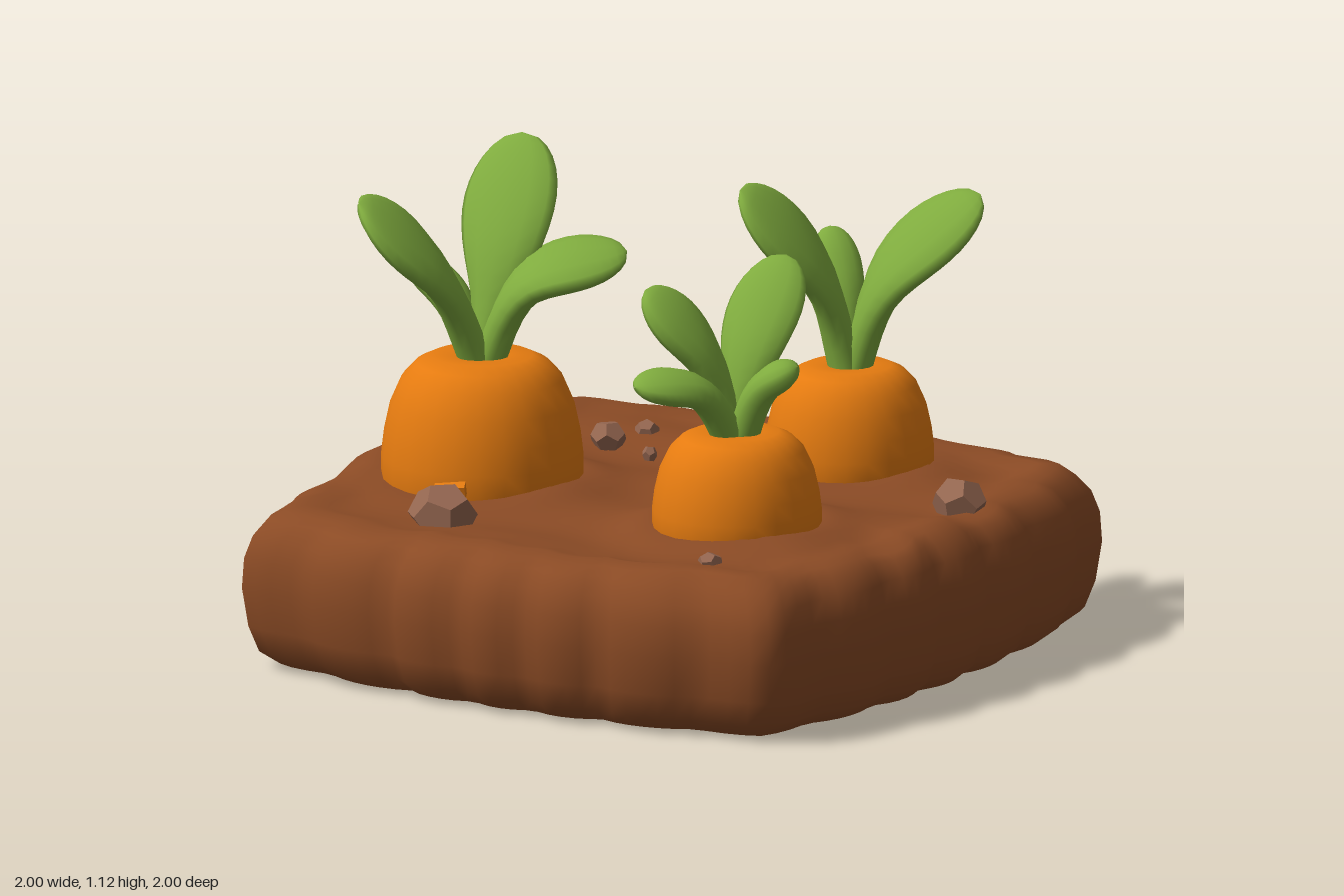
import * as THREE from 'three';

const mat = (name, color) => Object.assign(new THREE.MeshStandardMaterial({ color }), { name });
const V = (x, y, z) => new THREE.Vector3(x, y, z);

// Skin a stack of closed rings (each an array of Vector3)
function loft(rings) {
  const n = rings[0].length, pos = [], idx = [];
  rings.forEach(r => r.forEach(p => pos.push(p.x, p.y, p.z)));
  for (let i = 0; i < rings.length - 1; i++) {
    for (let j = 0; j < n; j++) {
      const a = i * n + j, b = i * n + (j + 1) % n;
      idx.push(a, a + n, b, b, a + n, b + n);
    }
  }
  const g = new THREE.BufferGeometry();
  g.setAttribute('position', new THREE.Float32BufferAttribute(pos, 3));
  g.setIndex(idx);
  g.computeVertexNormals();
  return g;
}

// Each leaf: middle point, tip, half width, roll of the blade
const CARROTS = [
  { name: 'leftCarrot', x: -.4, z: -.18, r: .23, top: .67 },
  { name: 'rightCarrot', x: .44, z: -.12, r: .192, top: .615 },
  { name: 'frontCarrot', x: .06, z: .4, r: .193, top: .605 },
];
const LEAVES = {
  leftCarrot: [
    [V(-.51, .86, -.15), V(-.7, 1.05, -.13), .125, .7],
    [V(-.345, .88, -.24), V(-.26, 1.13, -.39), .115, .15],
    [V(-.3, .84, -.14), V(-.08, .91, -.11), .1, -.4],
    [V(-.45, .78, -.26), V(-.52, .86, -.35), .06, 0],
  ],
  rightCarrot: [
    [V(.37, .82, -.135), V(.19, 1.03, -.14), .12, .7],
    [V(.53, .81, -.115), V(.74, 1, -.1), .105, -.6],
    [V(.44, .77, -.18), V(.43, .9, -.28), .055, 0],
  ],
  frontCarrot: [
    [V(.1, .77, .355), V(.21, .97, .24), .09, -.2],
    [V(-.015, .78, .375), V(-.14, .93, .34), .09, .6],
    [V(-.04, .71, .45), V(-.2, .745, .5), .065, .4],
    [V(.11, .71, .445), V(.18, .77, .49), .05, -.4],
  ],
};

// Height of the planting surface, raised around each carrot
function groundHeight(x, z) {
  let y = .362 + .009 * Math.sin(7 * x + 2) * Math.cos(8 * z) + .006 * Math.sin(15 * x - 11 * z);
  for (const c of CARROTS) {
    const d = Math.hypot(x - c.x, z - c.z) - c.r;
    y += .035 * Math.exp(-((Math.max(d, 0) / .09) ** 2));
  }
  return y;
}

// Rounded diamond outline with six scallops along each side
function soilOutline(count) {
  const P = 1.24;
  return Array.from({ length: count }, (_, j) => {
    const a = j / count * Math.PI * 2, x = Math.sin(a), z = -Math.cos(a);
    const r = (Math.abs(x) ** P + Math.abs(z) ** P) ** (-1 / P);
    const lump = Math.abs(Math.cos(12 * a + .6 * Math.sin(4 * a) * Math.sin(a + 1)));
    const s = r * (1 - .036 * (1 - lump ** .7));
    return V(x * s, 0, z * s);
  });
}

function soilGeometry() {
  const edge = soilOutline(144);
  // underside and bulging wall: scale, height
  const rings = [[.001, .012], [.86, .012], [.91, .018], [.96, .05], [.985, .11], [1, .2], [.995, .27], [.975, .32], [.94, .358]]
    .map(([s, y]) => edge.map(p => V(p.x * s, y, p.z * s)));
  // rolled rim, then the planting surface
  for (let i = 0; i <= 18; i++) {
    const s = Math.max(.9 - i * .05, .001);
    const rim = .018 * Math.exp(-(((s - .86) / .06) ** 2));
    rings.push(edge.map(p => V(p.x * s, groundHeight(p.x * s, p.z * s) + rim, p.z * s)));
  }
  return loft(rings);
}

// A thick leaf: narrow stem swelling to a rounded blade
function leafGeometry(base, [mid, tip, w, roll]) {
  const curve = new THREE.CatmullRomCurve3([base, mid, tip]);
  const side = V(base.z - tip.z, 0, tip.x - base.x).normalize().setY(roll);
  const rings = [], N = 16;
  for (let i = 0; i <= N; i++) {
    const s = 1 - (1 - i / N) ** 1.4;
    const p = curve.getPoint(s), t = curve.getTangent(s);
    const wide = side.clone().addScaledVector(t, -side.dot(t)).normalize();
    const thick = wide.clone().cross(t);
    const round = s > .72 ? Math.sqrt(Math.max(1 - ((s - .72) / .28) ** 2, .0004)) : 1;
    const a = THREE.MathUtils.lerp(.04, w, THREE.MathUtils.smoothstep(s, .15, .72)) * round;
    const b = (.038 - .004 * s) * round;
    rings.push(Array.from({ length: 12 }, (_, j) => {
      const k = j / 12 * Math.PI * 2;
      return p.clone().addScaledVector(wide, a * Math.cos(k)).addScaledVector(thick, b * Math.sin(k));
    }));
  }
  return loft(rings);
}

export function createModel() {
  const soil = mat('soil brown', 0x8b4b25), orange = mat('carrot orange', 0xe57b10);
  const green = mat('leaf green', 0x7fab3e), stone = mat('stone', 0x946650);
  const model = new THREE.Group();
  model.name = 'carrotPatch';
  const add = (parent, name, geo, m) => {
    const mesh = new THREE.Mesh(geo, m);
    mesh.name = name;
    parent.add(mesh);
    return mesh;
  };

  add(model, 'soilBed', soilGeometry(), soil);

  // Carrots: domed root and a tuft of leaves
  const rootProfile = [[.9, -.4], [1, 0], [1, .2], [.97, .4], [.91, .62], [.8, .82], [.66, .94], [.5, 1], [.25, .99], [0, .96]];
  for (const c of CARROTS) {
    const g = new THREE.Group();
    g.name = c.name;
    const profile = rootProfile.map(([r, y]) => new THREE.Vector2(r * c.r, .38 + y * (c.top - .38)));
    add(g, 'root', new THREE.LatheGeometry(profile, 24), orange).position.set(c.x, 0, c.z);
    const base = V(c.x, c.top - .05, c.z);
    LEAVES[c.name].forEach((leaf, i) => add(g, 'leaf' + (i + 1), leafGeometry(base, leaf), green));
    model.add(g);
  }

  // Stones: position, half sizes
  [
    [V(-.565, .385, .14), V(.08, .07, .085)],
    [V(.6, .385, .3), V(.062, .06, .075)],
    [V(-.03, .375, -.52), V(.042, .04, .045)],
    [V(.075, .365, -.585), V(.03, .03, .03)],
    [V(-.065, .37, .675), V(.03, .025, .03)],
    [V(.03, .37, -.36), V(.018, .02, .018)],
  ].forEach(([at, size], i) => {
    const geo = new THREE.DodecahedronGeometry(1).rotateY(i * 1.3).rotateX(i * .7);
    const mesh = add(model, 'stone' + (i + 1), geo, stone);
    mesh.position.copy(at);
    mesh.scale.copy(size);
  });

  // Small carrot chips lying on the soil
  [[V(-.535, .42, .085), .07], [V(.48, .39, -.335), .055]].forEach(([at, s], i) => {
    const chip = add(model, 'chip' + (i + 1), new THREE.BoxGeometry(s, .03, .035), orange);
    chip.position.copy(at);
    chip.rotation.set(.2, .3 * i - .3, .15);
  });
  return model;
}
